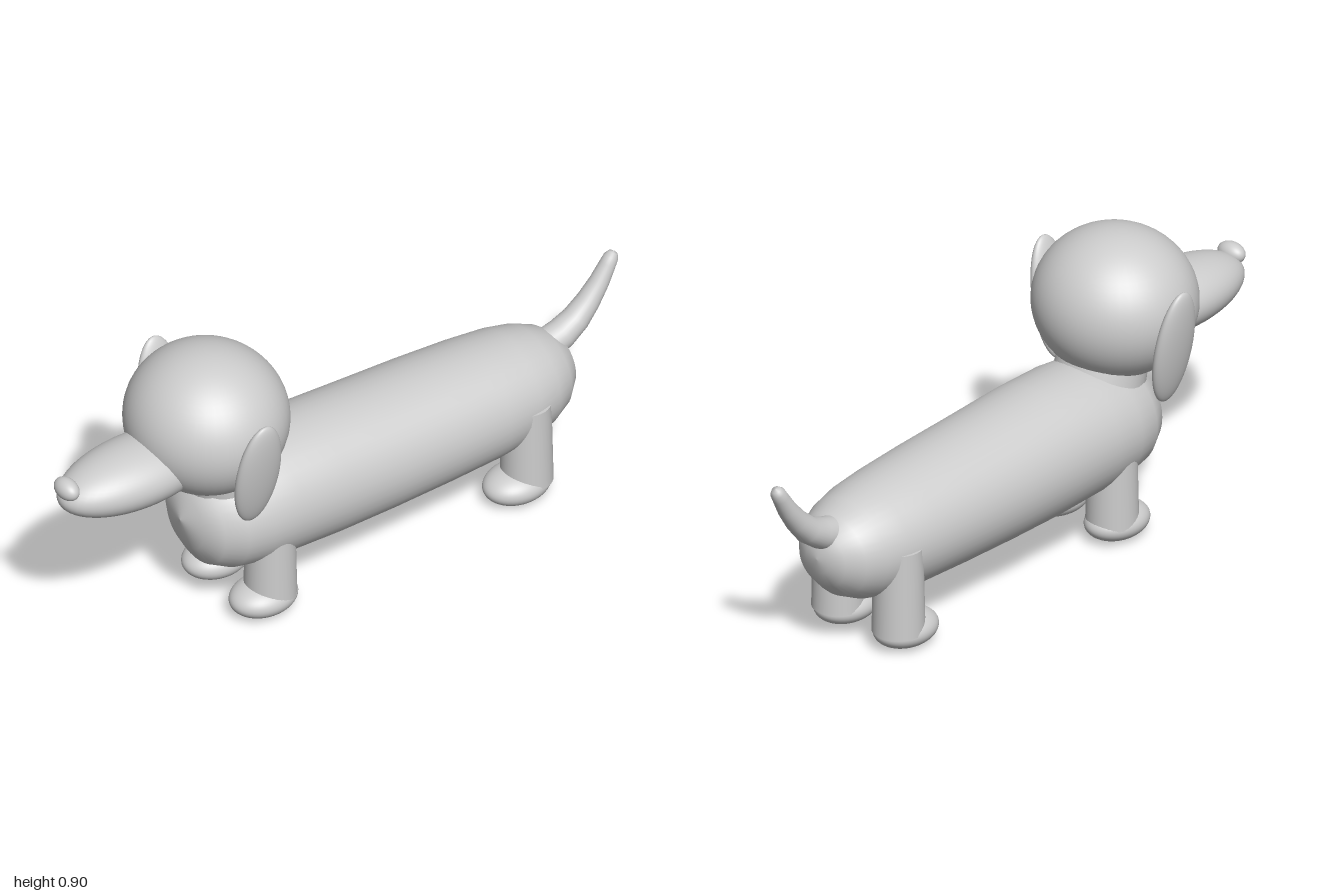
import * as THREE from 'three';

// Smooth skin over elliptical rings listed from front to back: [y, z, rx, ry, tilt]
function loft(rings, sides = 40) {
  const pos = [], index = [];
  rings.forEach(([y, z, rx, ry, tilt = 0], i) => {
    for (let j = 0; j < sides; j++) {
      const a = (j / sides) * Math.PI * 2;
      const up = ry * Math.sin(a);
      pos.push(rx * Math.cos(a), y + up * Math.cos(tilt), z + up * Math.sin(tilt));
      if (i === rings.length - 1) continue;
      const p = i * sides + j, q = i * sides + ((j + 1) % sides);
      index.push(p, p + sides, q, q, p + sides, q + sides);
    }
  });
  const geo = new THREE.BufferGeometry();
  geo.setAttribute('position', new THREE.Float32BufferAttribute(pos, 3));
  geo.setIndex(index);
  geo.computeVertexNormals();
  return geo;
}

export function createModel() {
  const model = new THREE.Group();
  model.name = 'dog';
  const grey = new THREE.MeshStandardMaterial({ color: 0xcccccc });
  grey.name = 'light grey';

  const add = (name, geo, x = 0, y = 0, z = 0) => {
    const mesh = new THREE.Mesh(geo, grey);
    mesh.name = name;
    mesh.position.set(x, y, z);
    model.add(mesh);
    return mesh;
  };
  const ellipsoid = (rx, ry, rz) => new THREE.SphereGeometry(1, 48, 32).scale(rx, ry, rz);

  // Long body with a blunt chest and rounded rump
  add('body', loft([
    [0.35, 0.565, 0, 0],
    [0.34, 0.545, 0.09, 0.09],
    [0.335, 0.51, 0.147, 0.145],
    [0.335, 0.45, 0.183, 0.175],
    [0.336, 0.37, 0.2, 0.19],
    [0.338, 0.27, 0.207, 0.198],
    [0.333, 0.1, 0.208, 0.202],
    [0.326, -0.1, 0.206, 0.196],
    [0.322, -0.3, 0.201, 0.19],
    [0.318, -0.48, 0.193, 0.182],
    [0.317, -0.6, 0.18, 0.172],
    [0.318, -0.68, 0.16, 0.155],
    [0.32, -0.74, 0.132, 0.128],
    [0.325, -0.785, 0.09, 0.088],
    [0.33, -0.805, 0.045, 0.045],
    [0.33, -0.81, 0, 0],
  ]));

  // Short neck joining chest and head
  const neck = add('neck', new THREE.CylinderGeometry(0.13, 0.14, 0.22, 40), 0, 0.49, 0.41);
  neck.rotation.x = 0.3;

  // Head, snout and nose
  add('head', ellipsoid(0.247, 0.224, 0.24), 0, 0.684, 0.47);
  add('snout', ellipsoid(0.13, 0.095, 0.27), 0, 0.599, 0.72);
  add('nose', ellipsoid(0.047, 0.032, 0.031), 0, 0.643, 0.969);

  // Paired ears, legs and paws
  for (const [side, s] of [['left', 1], ['right', -1]]) {
    const ear = add(side + 'Ear', ellipsoid(0.032, 0.19, 0.076), s * 0.236, 0.613, 0.46);
    ear.rotation.z = -s * 0.19;
    for (const [end, legZ, pawZ] of [['Front', 0.328, 0.351], ['Hind', -0.588, -0.555]]) {
      add(side + end + 'Leg', new THREE.CylinderGeometry(0.072, 0.078, 0.27, 32), s * 0.117, 0.195, legZ);
      add(side + end + 'Paw', ellipsoid(0.085, 0.054, 0.108), s * 0.115, 0.057, pawZ);
    }
  }

  // Upswept tapering tail with a rounded tip
  add('tail', loft([
    [0.395, -0.75, 0.05, 0.05, 0.3],
    [0.413, -0.8, 0.047, 0.046, 0.45],
    [0.443, -0.85, 0.042, 0.041, 0.7],
    [0.488, -0.895, 0.036, 0.035, 0.85],
    [0.54, -0.935, 0.03, 0.029, 0.98],
    [0.59, -0.965, 0.025, 0.024, 1.05],
    [0.61, -0.977, 0.022, 0.022, 1.05],
    [0.622, -0.984, 0.014, 0.014, 1.05],
    [0.626, -0.986, 0, 0, 1.05],
  ], 28));

  return model;
}
